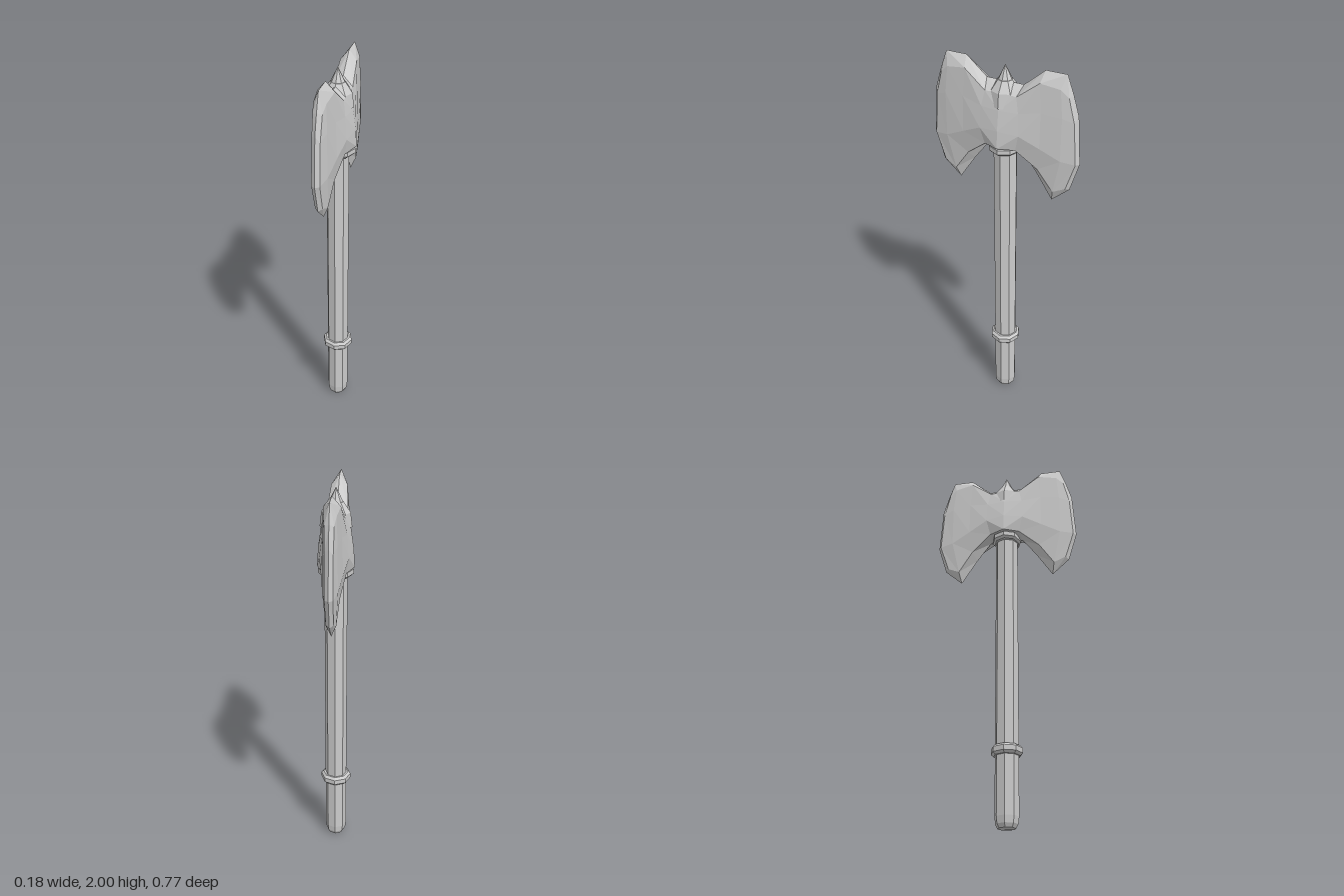
import * as THREE from 'three';

const material = new THREE.MeshStandardMaterial({ color: 0xcccccc, flatShading: true });

function addMesh(group, name, geometry) {
  const mesh = new THREE.Mesh(geometry, material);
  mesh.name = name;
  group.add(mesh);
  return mesh;
}

// Eight-sided turned part from [radius, height] pairs, bottom to top
function turned(profile, sides = 8) {
  return new THREE.LatheGeometry(profile.map(([r, y]) => new THREE.Vector2(r, y)), sides);
}

// Rounded collar ring around the shaft
function collar(radius, y0, y1) {
  const b = (y1 - y0) * 0.25;
  return turned([
    [0.05, y0], [radius - b, y0], [radius, y0 + b],
    [radius, y1 - b], [radius - b, y1], [0.05, y1],
  ]);
}

// Cross-sections of one blade quarter from the centre to the cutting edge.
// Each runs from the top ridge down to the bottom ridge as [x, y, z].
const sections = [
  [[0, 1.91, 0], [0.05, 1.87, 0], [0.073, 1.79, 0], [0.087, 1.69, 0], [0.092, 1.60, 0], [0, 1.59, 0]],
  [[0, 1.91, 0.095], [0.05, 1.865, 0.08], [0.062, 1.79, 0.095], [0.071, 1.68, 0.1], [0.058, 1.595, 0.08], [0, 1.57, 0.09]],
  [[0, 2.0, 0.2], [0.04, 1.95, 0.19], [0.046, 1.81, 0.2], [0.052, 1.63, 0.2], [0.036, 1.51, 0.185], [0, 1.47, 0.165]],
  [[0, 2.0, 0.305], [0.03, 1.935, 0.287], [0.034, 1.8, 0.3], [0.036, 1.58, 0.3], [0.025, 1.40, 0.262], [0, 1.34, 0.25]],
  [[0, 2.0, 0.305], [0.022, 1.9, 0.325], [0.02, 1.78, 0.355], [0.02, 1.57, 0.37], [0.018, 1.43, 0.325], [0, 1.34, 0.25]],
  [[0, 2.0, 0.305], [0, 1.91, 0.338], [0, 1.81, 0.368], [0, 1.57, 0.385], [0, 1.42, 0.34], [0, 1.34, 0.25]],
];

// Skin the sections and mirror them; side is the sign of z
function bladeGeometry(side) {
  const positions = [];
  for (const sx of [1, -1]) {
    const flip = sx * side < 0;
    const tri = (a, b, c) => {
      for (const p of flip ? [a, c, b] : [a, b, c]) positions.push(p[0] * sx, p[1], p[2] * side);
    };
    for (let i = 0; i < sections.length - 1; i++) {
      for (let j = 0; j < sections[i].length - 1; j++) {
        const a = sections[i][j], b = sections[i + 1][j];
        const c = sections[i + 1][j + 1], d = sections[i][j + 1];
        if (a !== b) tri(a, b, d);
        tri(b, c, d);
      }
    }
  }
  const geometry = new THREE.BufferGeometry();
  geometry.setAttribute('position', new THREE.Float32BufferAttribute(positions, 3));
  geometry.computeVertexNormals();
  return geometry;
}

export function createModel() {
  const axe = new THREE.Group();
  axe.name = 'doubleAxe';

  // Shaft with a chamfered butt
  addMesh(axe, 'shaft', turned([
    [0, 0], [0.045, 0.005], [0.056, 0.025], [0.06, 0.06], [0.06, 1.62],
  ])).scale.x = 0.95;

  // Collars
  addMesh(axe, 'gripCollar', collar(0.08, 0.355, 0.405));
  addMesh(axe, 'headCollar', collar(0.078, 1.555, 1.6)).scale.x = 1.12;

  // Twin blades
  addMesh(axe, 'frontBlade', bladeGeometry(1));
  addMesh(axe, 'backBlade', bladeGeometry(-1));

  // Domed cap and spike
  addMesh(axe, 'cap', turned([[0.078, 1.8], [0.07, 1.87], [0.036, 1.92], [0, 1.925]]));
  addMesh(axe, 'spike', turned([[0.036, 1.915], [0.02, 1.95], [0, 1.99]]));

  return axe;
}
